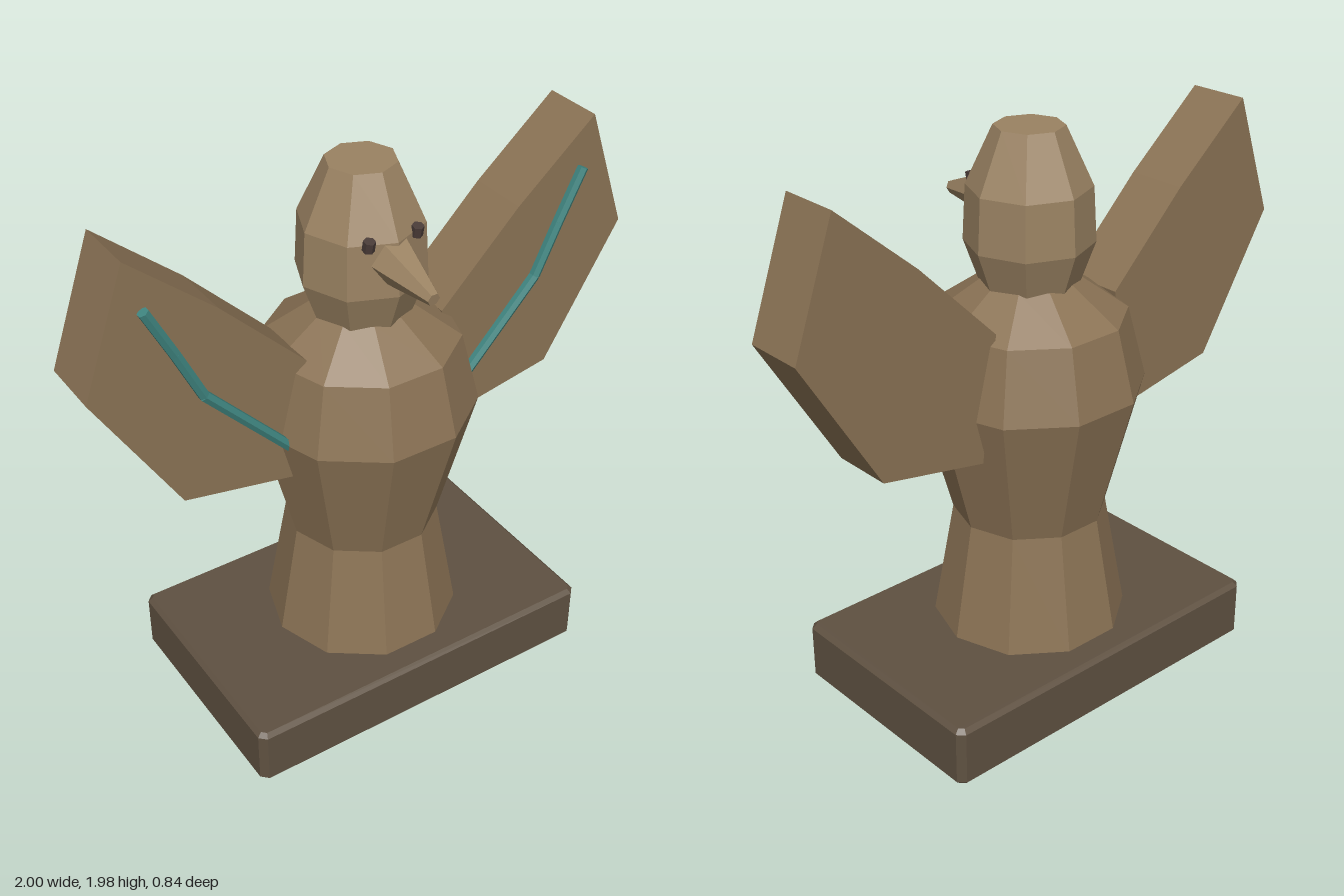
import * as THREE from 'three';

const material = (color) => new THREE.MeshStandardMaterial({ color, flatShading: true });
const wood = material(0x8b7355);
const paleWood = material(0x9a8262);
const darkWood = material(0x5f5141);
const teal = material(0x3f8580);
const dark = material(0x4a3c38);

function part(name, geometry, mat, parent) {
  const mesh = new THREE.Mesh(geometry, mat);
  mesh.name = name;
  parent.add(mesh);
  return mesh;
}

// Faceted turned solid from [radius, height] pairs, first corner on +x
function turned(profile, sides) {
  const points = profile.map(([r, y]) => new THREE.Vector2(r, y));
  return new THREE.LatheGeometry(points, sides, Math.PI / 2);
}

// Closed rod between two points
function rod(name, a, b, r0, r1, sides, mat, parent) {
  const axis = b.clone().sub(a);
  const mesh = part(name, new THREE.CylinderGeometry(r1, r0, axis.length(), sides), mat, parent);
  mesh.position.copy(a).add(b).multiplyScalar(0.5);
  mesh.quaternion.setFromUnitVectors(new THREE.Vector3(0, 1, 0), axis.normalize());
  return mesh;
}

// Rectangular plinth with chamfered edges
function plinthGeometry() {
  const x = 0.655, z = 0.405, c = 0.015, b = 0.015;
  const shape = new THREE.Shape([
    [x - c, -z], [x, -z + c], [x, z - c], [x - c, z],
    [-x + c, z], [-x, z - c], [-x, -z + c], [-x + c, -z],
  ].map(([px, pz]) => new THREE.Vector2(px, pz)));
  const geometry = new THREE.ExtrudeGeometry(shape, {
    depth: 0.22 - 2 * b, bevelEnabled: true, bevelThickness: b, bevelSize: b, bevelSegments: 1,
  });
  return geometry.rotateX(-Math.PI / 2).translate(0, b, 0);
}

// Thick flat wing slab with a teal stripe of jointed rods on its front
function addWing(side, parent) {
  const wing = new THREE.Group();
  wing.name = side > 0 ? 'leftWing' : 'rightWing';
  parent.add(wing);

  const outline = [
    [0.26, 1.39], [0.32, 0.955], [0.715, 1.03], [1, 1.505], [0.847, 1.935], [0.555, 1.685],
  ];
  const shape = new THREE.Shape(outline.map(([x, y]) => new THREE.Vector2(side * x, y)));
  const slab = new THREE.ExtrudeGeometry(shape, { depth: 0.22, bevelEnabled: false });
  part('wingSlab', slab.translate(0, 0, -0.135), wood, wing);

  const joints = [[0.34, 1.1], [0.63, 1.41], [0.715, 1.59], [0.803, 1.765]];
  for (let i = 0; i < joints.length - 1; i++) {
    const [a, b] = [joints[i], joints[i + 1]]
      .map(([x, y]) => new THREE.Vector3(side * x, y, 0.1));
    rod('wingStripe', a, b, 0.019, 0.019, 6, teal, wing);
  }
}

export function createModel() {
  const model = new THREE.Group();
  model.name = 'carvedBird';

  part('plinth', plinthGeometry(), darkWood, model);

  // Ten-sided body: flared foot, waist, chest and shoulders
  part('body', turned([
    [0, 0.21], [0.34, 0.21], [0.265, 0.635], [0.39, 1.11], [0.328, 1.355], [0.16, 1.475], [0, 1.475],
  ], 10), wood, model);

  // Eight-sided head
  part('head', turned([
    [0, 1.46], [0.165, 1.46], [0.215, 1.6], [0.205, 1.785], [0.115, 1.98], [0, 1.98],
  ], 8), paleWood, model);

  // Six-sided tapering beak, corners to the sides
  const beak = new THREE.Group();
  beak.name = 'beak';
  model.add(beak);
  const beakMesh = part('beakCone',
    new THREE.CylinderGeometry(0.022, 0.085, 0.24, 6).rotateY(Math.PI / 6).rotateX(Math.PI / 2),
    paleWood, beak);
  beakMesh.position.set(0, 1.7, 0.272);
  beakMesh.rotation.x = 0.15;

  for (const side of [1, -1]) {
    const eye = part('eye', new THREE.CylinderGeometry(0.02, 0.02, 0.036, 6), dark, model);
    eye.position.set(side * 0.088, 1.788, 0.176);
    eye.rotation.x = 0.2;
    addWing(side, model);
  }

  return model;
}
